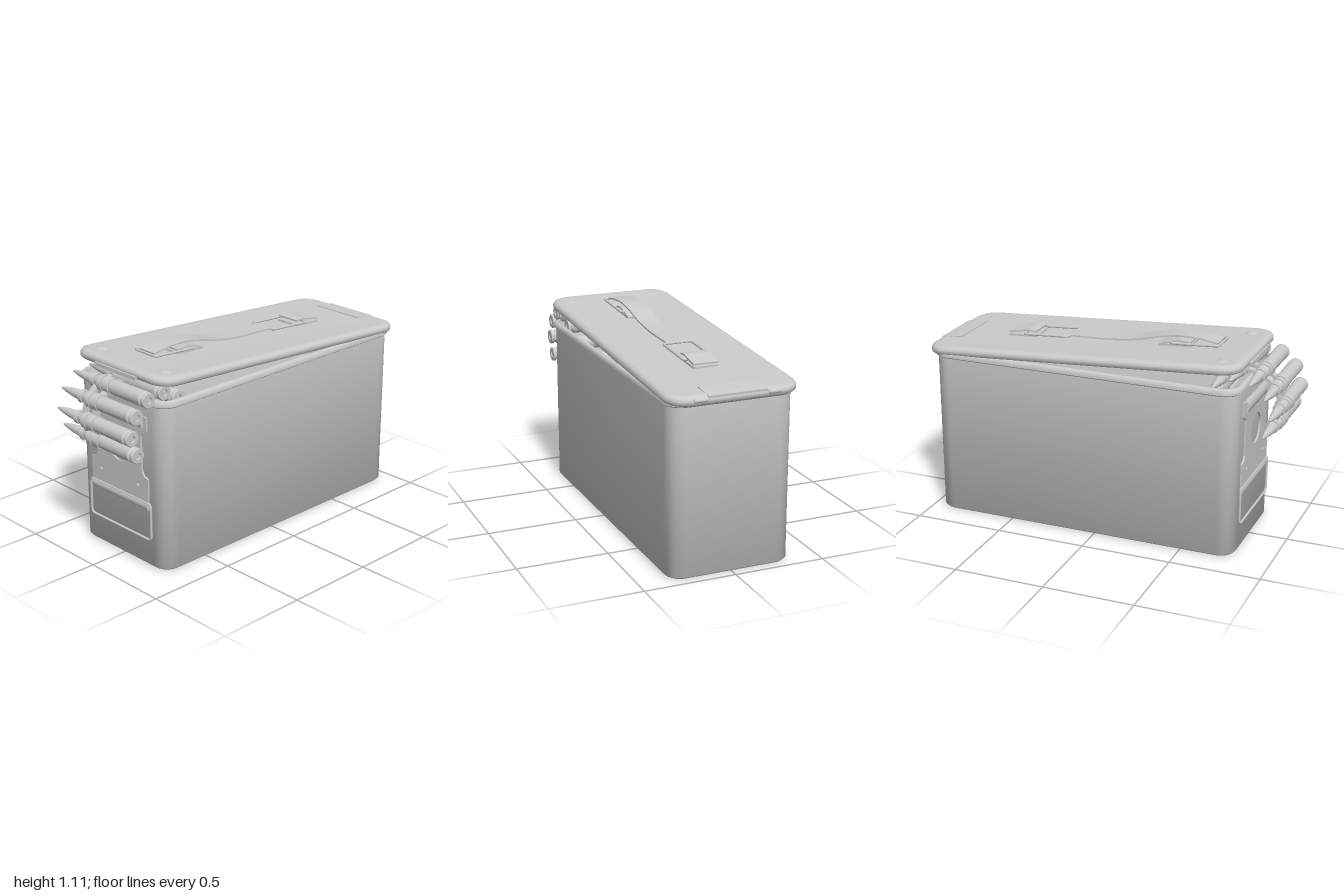
import * as THREE from 'three';
import { toCreasedNormals } from 'three/addons/utils/BufferGeometryUtils.js';

const grey = new THREE.MeshStandardMaterial({ color: 0xcccccc, side: THREE.DoubleSide });

function part(name, geometry, parent, x = 0, y = 0, z = 0) {
  const mesh = new THREE.Mesh(geometry, grey);
  mesh.name = name;
  mesh.position.set(x, y, z);
  parent.add(mesh);
  return mesh;
}

// Rounded rectangle in the ground plane, shrunk by an inset
function outline(w, z0, z1, r, inset) {
  const pts = [], rad = Math.max(r - inset, 0.005), n = 8;
  const corners = [[w - r, z1 - r], [r - w, z1 - r], [r - w, z0 + r], [w - r, z0 + r]];
  corners.forEach(([cx, cz], q) => {
    for (let i = 0; i <= n; i++) {
      const a = (q + i / n) * Math.PI / 2;
      pts.push([cx + rad * Math.cos(a), cz + rad * Math.sin(a)]);
    }
  });
  return pts;
}

// Stacked rounded rectangles, closed at the first and last ring; rings are [inset, y]
function loft(w, z0, z1, r, rings) {
  const pos = [], idx = [], zc = (z0 + z1) / 2;
  let n = 0;
  for (const [inset, y] of rings) {
    const pts = outline(w, z0, z1, r, inset);
    n = pts.length;
    for (const [x, z] of pts) pos.push(x, y, z);
  }
  const m = rings.length, bottom = m * n, top = bottom + 1;
  pos.push(0, rings[0][1], zc, 0, rings[m - 1][1], zc);
  for (let i = 0; i < n; i++) {
    const j = (i + 1) % n;
    for (let k = 0; k < m - 1; k++) {
      const a = k * n + i, b = k * n + j;
      idx.push(a, a + n, b, b, a + n, b + n);
    }
    idx.push(bottom, i, j, top, (m - 1) * n + j, (m - 1) * n + i);
  }
  const g = new THREE.BufferGeometry();
  g.setAttribute('position', new THREE.Float32BufferAttribute(pos, 3));
  g.setIndex(idx);
  return toCreasedNormals(g, 0.9);
}

// Band of sheet following a side profile of [z, y] points, extruded across x
function strip(points, width, thick) {
  const curve = new THREE.CatmullRomCurve3(points.map(([z, y]) => new THREE.Vector3(z, y, 0)));
  const n = 32, upper = [], lower = [];
  for (let i = 0; i <= n; i++) {
    const p = curve.getPoint(i / n), t = curve.getTangent(i / n);
    upper.push(new THREE.Vector2(p.x - t.y * thick / 2, p.y + t.x * thick / 2));
    lower.unshift(new THREE.Vector2(p.x + t.y * thick / 2, p.y - t.x * thick / 2));
  }
  const g = new THREE.ExtrudeGeometry(new THREE.Shape([...upper, ...lower]), { depth: width, bevelEnabled: false });
  g.rotateY(-Math.PI / 2).translate(width / 2, 0, 0);
  return toCreasedNormals(g, 0.7);
}

// Closed rectangular wire with bent corners, drawn in the xy plane
function wireLoop(hw, y0, y1, bend, radius) {
  const path = new THREE.CurvePath();
  const v = (x, y) => new THREE.Vector3(x, y, 0);
  const c = [[hw, y0], [hw, y1], [-hw, y1], [-hw, y0]];
  const toward = (a, b) => {
    const d = Math.hypot(b[0] - a[0], b[1] - a[1]);
    return v(a[0] + (b[0] - a[0]) * bend / d, a[1] + (b[1] - a[1]) * bend / d);
  };
  c.forEach((p, i) => {
    const prev = c[(i + 3) % 4], next = c[(i + 1) % 4];
    path.add(new THREE.QuadraticBezierCurve3(toward(p, prev), v(...p), toward(p, next)));
    path.add(new THREE.LineCurve3(toward(p, next), toward(next, p)));
  });
  return new THREE.TubeGeometry(path, 120, radius, 8, true);
}

function createBody(root) {
  const body = new THREE.Group();
  body.name = 'body';
  root.add(body);
  part('boxShell', loft(0.342, -0.955, 0.79, 0.09, [
    [0.012, 0], [0, 0.012], [0, 0.905], [-0.012, 0.913], [-0.013, 0.934], [-0.004, 0.944],
    [0.012, 0.944], [0.018, 0.934], [0.018, 0.02]]), body);

  // Front latch plate with thumb hole and two rivet holes
  const s = new THREE.Shape();
  const side = [[0.225, 0.34], [0.225, 0.5], [0.195, 0.51], [0.18, 0.53], [0.175, 0.73], [0.22, 0.76], [0.22, 0.84]];
  side.forEach(([x, y], i) => (i ? s.lineTo(x, y) : s.moveTo(x, y)));
  [...side].reverse().forEach(([x, y]) => s.lineTo(-x, y));
  for (const [x, y, r] of [[0, 0.625, 0.085], [0.147, 0.452, 0.01], [-0.147, 0.452, 0.01]]) {
    s.holes.push(new THREE.Path().absarc(x, y, r, 0, Math.PI * 2, true));
  }
  part('latchPlate', new THREE.ExtrudeGeometry(s, { depth: 0.01, bevelEnabled: false, curveSegments: 20 }), body, 0, 0, 0.791);
  const roll = new THREE.CylinderGeometry(0.02, 0.02, 0.45, 16).rotateZ(Math.PI / 2).scale(1, 1.1, 0.6);
  part('latchRoll', roll, body, 0, 0.347, 0.798);
  const pivot = new THREE.CylinderGeometry(0.035, 0.035, 0.4, 8).rotateZ(Math.PI / 2).scale(1, 1, 0.6);
  part('latchPivot', pivot, body, 0, 0.81, 0.8);
  part('latchBail', wireLoop(0.243, 0.158, 0.365, 0.025, 0.007), body, 0, 0, 0.8);
}

function createLid(root) {
  const lid = new THREE.Group();
  lid.name = 'lid';
  lid.position.y = 0.98;
  lid.rotation.x = -0.061;
  root.add(lid);
  const top = 0.045;
  part('lidShell', loft(0.36, -0.995, 0.805, 0.11, [
    [0.028, 0.022], [0.026, 0], [0.01, -0.001], [0.001, 0.008], [0, 0.026],
    [0.008, 0.039], [0.025, 0.046], [0.05, top]]), lid);

  // Hinge plate and knuckles at the back, catch at the front, corner dimples
  part('hingePlate', new THREE.BoxGeometry(0.32, 0.012, 0.125), lid, 0, 0.041, -0.93).rotation.x = -0.05;
  part('frontCatch', new THREE.BoxGeometry(0.32, 0.02, 0.025), lid, 0, 0.005, 0.803);
  for (const x of [-1, 1]) {
    part('hingeKnuckle', new THREE.CylinderGeometry(0.012, 0.012, 0.07, 12).rotateZ(Math.PI / 2), lid, x * 0.2, 0.025, -0.988);
    part('cornerDimple', new THREE.SphereGeometry(0.04, 20, 10).scale(1, 0.22, 0.8), lid, x * 0.25, top - 0.002, 0.69);
  }

  // Carrying strap, its two wire rings and their clips
  const strap = [[0.6, 0.025], [0.5, 0.046], [0.39, 0.055], [0.28, 0.045], [0.15, 0.022], [0, 0.012], [-0.25, 0.018]];
  part('handleStrap', strip(strap.map(([z, h]) => [z, h + top]), 0.118, 0.009), lid);
  for (const [name, z0, z1, h] of [['frontRing', 0.34, 0.61, 0.02], ['backRing', -0.52, -0.25, 0.018]]) {
    part(name, wireLoop(0.082, z0, z1, 0.02, 0.007).rotateX(Math.PI / 2), lid, 0, top + h, 0);
  }
  part('backClip', strip([[-0.45, 0.03], [-0.5, 0.036], [-0.54, 0.03], [-0.615, 0.022]].map(([z, h]) => [z, h + top]), 0.14, 0.009), lid);
  part('backClipBase', new THREE.BoxGeometry(0.14, 0.012, 0.17), lid, 0, top + 0.004, -0.533);
  part('frontClip', strip([[0.27, 0.005], [0.33, 0.02], [0.39, 0.03], [0.45, 0.022]].map(([z, h]) => [z, h + top]), 0.14, 0.009), lid);
  part('frontClipBase', new THREE.BoxGeometry(0.14, 0.012, 0.18), lid, 0, top + 0.004, 0.36);
}

function createBelt(root) {
  const belt = new THREE.Group();
  belt.name = 'cartridgeBelt';
  root.add(belt);

  // Cartridge profile from primer to tip, as [radius, distance]
  const profile = [[0, -0.297], [0.013, -0.297], [0.014, -0.29], [0.017, -0.29], [0.018, -0.302], [0.038, -0.302],
    [0.041, -0.298], [0.041, -0.285], [0.034, -0.281], [0.034, -0.273], [0.041, -0.266], [0.038, 0.03], [0.037, 0.065],
    [0.03, 0.085], [0.029, 0.13], [0.026, 0.133], [0.025, 0.17], [0.02, 0.215], [0.012, 0.262], [0.005, 0.293], [0, 0.298]];
  const round = toCreasedNormals(new THREE.LatheGeometry(profile.map(([r, y]) => new THREE.Vector2(r, y)), 24), 0.5)
    .rotateZ(Math.PI / 2);
  const band = (width, r) => new THREE.CylinderGeometry(r, r, width, 24).rotateZ(Math.PI / 2);

  // Row of rounds draped over the front rim, as [z, y]
  const row = [[0.925, 0.693], [0.957, 0.793], [0.925, 0.897], [0.845, 0.967], [0.74, 0.98], [0.648, 0.93], [0.6, 0.84], [0.57, 0.74]];
  row.forEach(([z, y], i) => {
    part('cartridge', round, belt, 0, y, z);
    part('neckBand', band(0.028, 0.036), belt, -0.11, y, z);
    part('midBand', band(0.028, 0.043), belt, -0.045, y, z);
    part('wideBand', band(0.05, 0.044), belt, 0.005, y, z);
    if (i === row.length - 1) return;
    // Links tying each round to the next
    const [nz, ny] = row[i + 1];
    const length = Math.hypot(nz - z, ny - y);
    for (const [x, w] of [[-0.078, 0.036], [0.005, 0.04]]) {
      const link = part('link', new THREE.BoxGeometry(w, 0.018, length), belt, x, (y + ny) / 2, (z + nz) / 2);
      link.rotation.x = -Math.atan2(ny - y, nz - z);
    }
  });
}

export function createModel() {
  const root = new THREE.Group();
  root.name = 'ammunitionBox';
  createBody(root);
  createLid(root);
  createBelt(root);
  return root;
}
